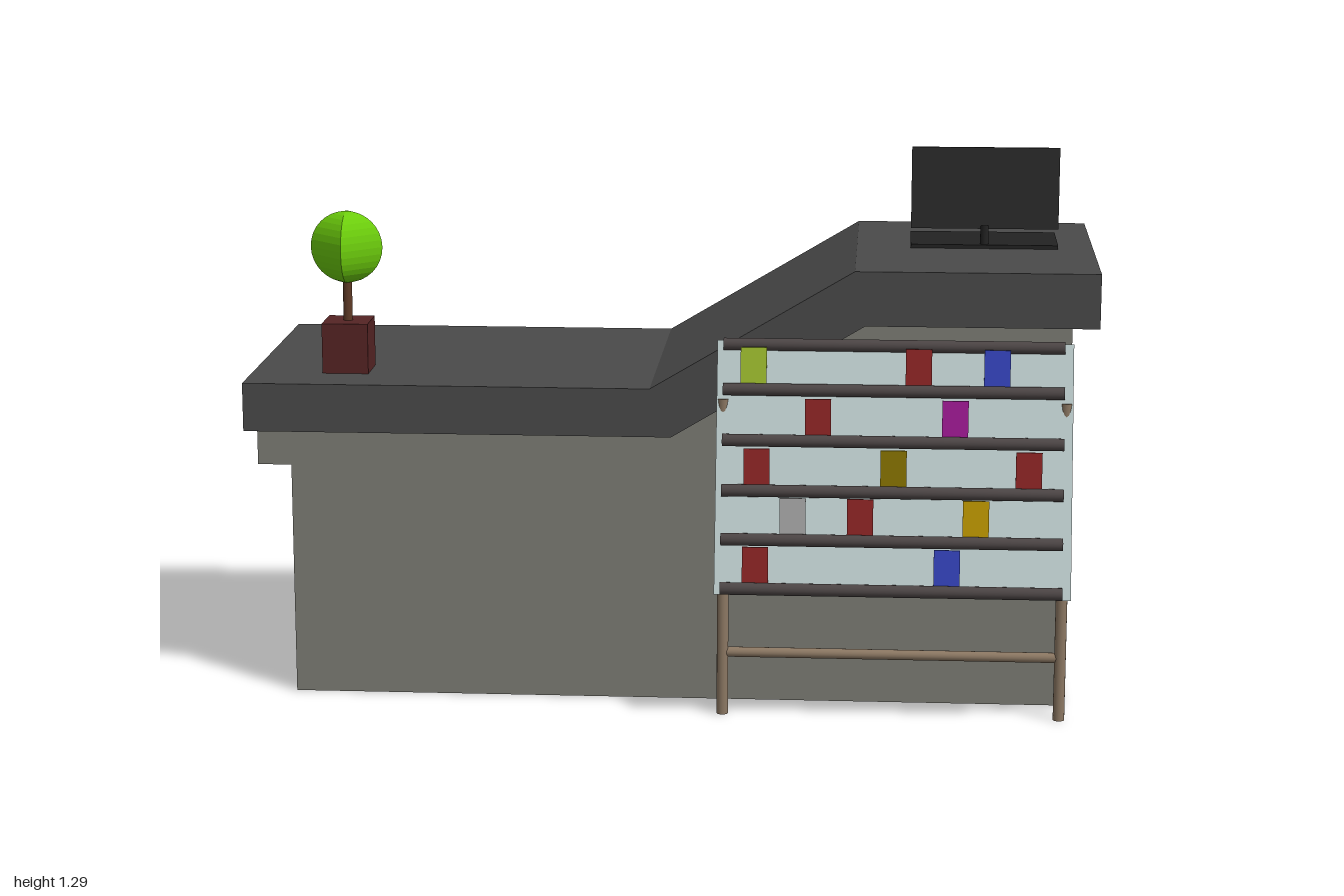
import * as THREE from 'three';

const mat = (color, flatShading = false) => new THREE.MeshStandardMaterial({ color, flatShading });

const WALL = mat(0x7d7d75), TOP = mat(0x4a4a4a), DARK = mat(0x2c2c2c), BASE = mat(0x222222);
const GLASS = mat(0xc4d4d4), RAIL = mat(0x4c4545), WOOD = mat(0x8c7863);
const POT = mat(0x552424), TRUNK = mat(0x5e3a26), LEAF = mat(0x6ccc0c, true);
const RED = mat(0x962828), BLUE = mat(0x3848c8), LIME = mat(0xa8c832), PINK = mat(0xa81c9c);
const OLIVE = mat(0x8c7800), GREY = mat(0xb0b0b0), GOLD = mat(0xc8a000);

export function createModel() {
  const model = new THREE.Group();

  const add = (parent, name, geometry, material, x = 0, y = 0, z = 0) => {
    const mesh = new THREE.Mesh(geometry, material);
    mesh.name = name;
    mesh.position.set(x, y, z);
    parent.add(mesh);
    return mesh;
  };
  const group = (name) => {
    const g = new THREE.Group();
    g.name = name;
    model.add(g);
    return g;
  };
  const box = (w, h, d) => new THREE.BoxGeometry(w, h, d);
  const rod = (r, length) => new THREE.CylinderGeometry(r, r, length, 16);

  // Side profile in x/y pushed along z, from back to front
  const profile = (points, back, front) => {
    const shape = new THREE.Shape(points.map(([x, y]) => new THREE.Vector2(x, y)));
    return new THREE.ExtrudeGeometry(shape, { depth: front - back, bevelEnabled: false })
      .translate(0, 0, back);
  };

  // Counter: stepped cabinet below, bent worktop above
  const counter = group('counter');
  add(counter, 'cabinet', profile([
    [-0.9, 0], [0.94, 0], [0.94, 0.927], [0.46, 0.927], [0.01, 0.657],
    [-0.98, 0.657], [-0.98, 0.56], [-0.9, 0.56],
  ], -0.377, 0.215), WALL);
  add(counter, 'worktop', profile([
    [-1, 0.655], [0.01, 0.655], [0.46, 0.925], [1, 0.925],
    [1, 1.053], [0.435, 1.053], [-0.04, 0.77], [-1, 0.77],
  ], -0.462, 0.28), TOP);

  // Potted tree with a four-sided crown
  const plant = group('plant');
  plant.position.set(-0.776, 0.77, 0.097);
  add(plant, 'pot', box(0.11, 0.12, 0.11), POT, 0, 0.06, 0);
  add(plant, 'trunk', rod(0.011, 0.14), TRUNK, 0, 0.18, 0);
  add(plant, 'crown', new THREE.SphereGeometry(0.086, 4, 16), LEAF, 0, 0.297, 0);

  // Monitor
  const monitor = group('monitor');
  monitor.position.set(0.74, 1.053, -0.077);
  add(monitor, 'monitorBase', box(0.352, 0.009, 0.2), BASE, 0, 0.0045, -0.083);
  add(monitor, 'monitorStand', rod(0.01, 0.055), BASE, 0, 0.027, 0);
  add(monitor, 'screen', box(0.352, 0.196, 0.007), DARK, 0, 0.144, 0);

  // Display rack: leaning panel, two legs and a crossbar
  const rack = group('displayRack');
  const rackX = 0.53;
  const lean = Math.atan2(0.1405, 0.5715);
  const panel = add(rack, 'panel', box(0.82, 0.588, 0.018), GLASS, rackX, 0.605, 0.361);
  panel.rotation.x = -lean;
  for (const side of [-1, 1]) {
    add(rack, 'rackLeg', rod(0.0135, 0.76), WOOD, rackX + side * 0.395, 0.38, 0.326);
  }
  add(rack, 'crossbar', rod(0.012, 0.79), WOOD, rackX, 0.15, 0.323).rotation.z = Math.PI / 2;

  // Rails from top to bottom, with the packs standing on each: [x, material]
  const rows = [
    { y: 0.884, z: 0.302, packs: [] },
    { y: 0.784, z: 0.333, packs: [[0.205, LIME], [0.585, RED], [0.765, BLUE]] },
    { y: 0.671, z: 0.366, packs: [[0.355, RED], [0.67, PINK]] },
    { y: 0.558, z: 0.392, packs: [[0.215, RED], [0.53, OLIVE], [0.84, RED]] },
    { y: 0.449, z: 0.421, packs: [[0.3, GREY], [0.455, RED], [0.72, GOLD]] },
    { y: 0.339, z: 0.449, packs: [[0.215, RED], [0.655, BLUE]] },
  ];
  for (const { y, z, packs } of rows) {
    add(rack, 'rail', rod(0.0145, 0.785), RAIL, rackX - 0.003, y, z).rotation.z = Math.PI / 2;
    for (const [x, material] of packs) {
      add(rack, 'pack', box(0.06, 0.098, 0.004), material, x, y + 0.049, z - 0.006);
    }
  }

  return model;
}
